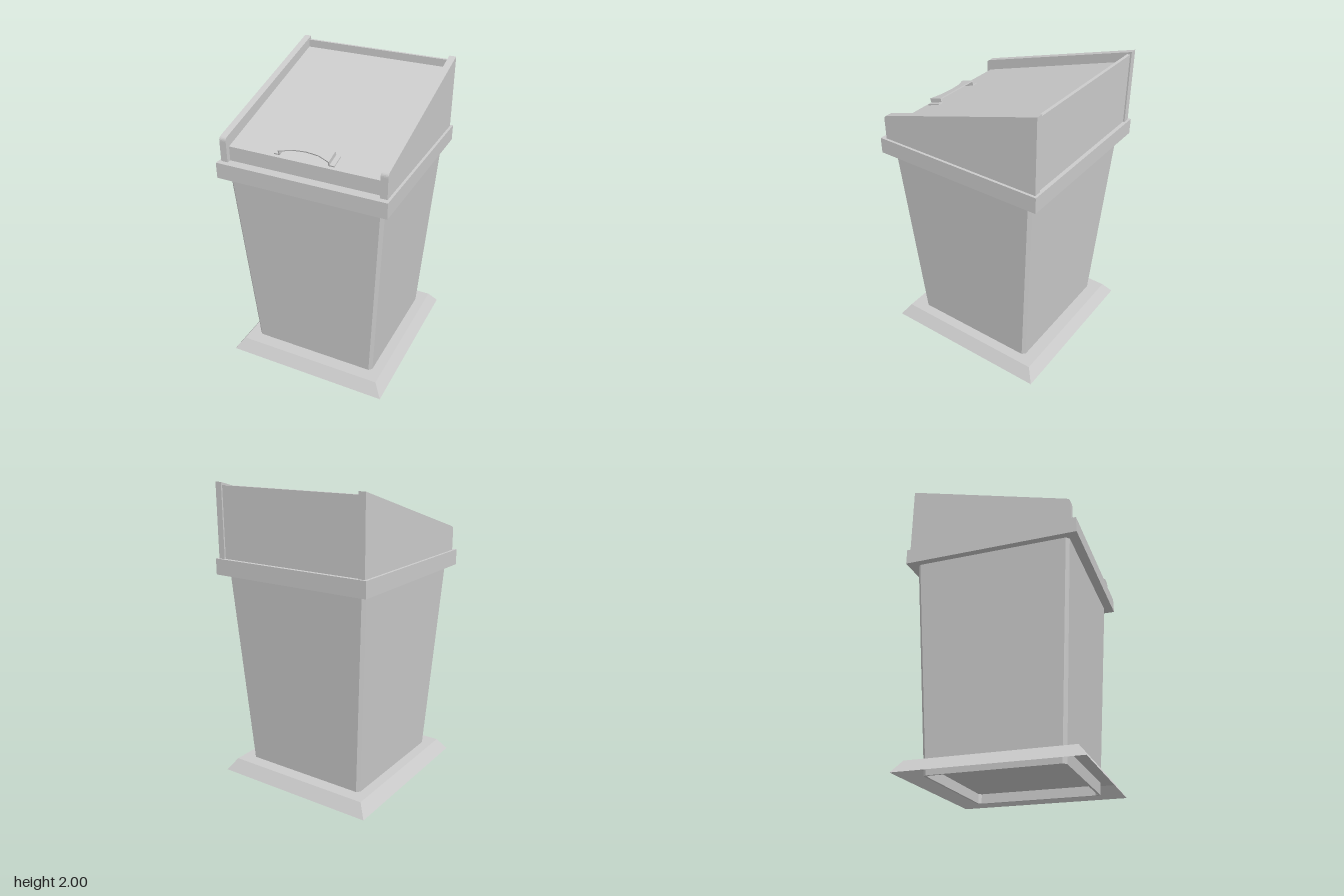
import * as THREE from 'three';

const grey = new THREE.MeshStandardMaterial({ color: 0xcccccc, side: THREE.DoubleSide });
grey.name = 'light grey plastic';

function part(name, geometry, parent) {
  const mesh = new THREE.Mesh(geometry, grey);
  mesh.name = name;
  parent.add(mesh);
  return mesh;
}

// Horizontal rectangle, optionally with chamfered corners
function ring(hx, hz, y, c = 0) {
  const pts = c === 0
    ? [[-hx, hz], [hx, hz], [hx, -hz], [-hx, -hz]]
    : [[-hx + c, hz], [hx - c, hz], [hx, hz - c], [hx, -hz + c],
       [hx - c, -hz], [-hx + c, -hz], [-hx, -hz + c], [-hx, hz - c]];
  return pts.map(([x, z]) => [x, y, z]);
}

// Flat-faced skin across successive rings
function loft(rings) {
  const pos = [];
  for (let r = 0; r < rings.length - 1; r++) {
    const lo = rings[r], hi = rings[r + 1], n = lo.length;
    for (let i = 0; i < n; i++) {
      const j = (i + 1) % n;
      pos.push(...lo[i], ...lo[j], ...hi[j], ...lo[i], ...hi[j], ...hi[i]);
    }
  }
  const g = new THREE.BufferGeometry();
  g.setAttribute('position', new THREE.Float32BufferAttribute(pos, 3));
  g.computeVertexNormals();
  return g;
}

// Side profile drawn in (z, y), extruded along x and centred
function profileX(shape, width) {
  return new THREE.ExtrudeGeometry(shape, { depth: width, bevelEnabled: false, curveSegments: 5 })
    .translate(0, 0, -width / 2)
    .rotateY(-Math.PI / 2);
}

const shapeOf = (pts) => new THREE.Shape(pts.map(([x, y]) => new THREE.Vector2(x, y)));

export function createModel() {
  const model = new THREE.Group();
  model.name = 'wasteBin';

  // Sloped skirt around the foot
  part('baseSkirt', loft([
    ring(0.57, 0.585, 0), ring(0.513, 0.53, 0.08), ring(0.43, 0.43, 0.08),
  ]), model);

  // Tapered body with chamfered corners and a recessed floor
  part('body', loft([
    ring(0.001, 0.001, 0.065, 0.0005),
    ring(0.424, 0.424, 0.065, 0.018),
    ring(0.424, 0.424, 0, 0.018),
    ring(0.439, 0.439, 0, 0.021),
    ring(0.525, 0.525, 1.42, 0.021),
  ]), model);

  // Collar
  part('rim', new THREE.BoxGeometry(1.14, 0.105, 1.17).translate(0, 1.4625, 0), model);

  // Lid: front lip, sloping panel and raised back wall in one profile
  const lid = new THREE.Group();
  lid.name = 'lid';
  model.add(lid);
  part('lidPanel', profileX(shapeOf([
    [0.52, 1.51], [0.52, 1.61], [-0.54, 1.93], [-0.54, 1.98], [-0.56, 1.98], [-0.56, 1.51],
  ]), 1.02), lid);

  // Cheeks on both sides of the lid
  const cheek = new THREE.Shape();
  cheek.moveTo(-0.57, 1.51);
  cheek.lineTo(0.55, 1.51);
  cheek.lineTo(0.55, 1.65);
  cheek.quadraticCurveTo(0.55, 1.673, 0.528, 1.68);
  cheek.lineTo(-0.57, 2);
  cheek.closePath();
  for (const [name, s] of [['leftCheek', 1], ['rightCheek', -1]]) {
    part(name, profileX(cheek, 0.046), lid).position.x = s * 0.53;
  }

  // Handle, built flat and tilted onto the lid slope
  const handle = new THREE.Group();
  handle.name = 'handle';
  handle.position.set(0, 1.61, 0.52);
  handle.rotation.x = Math.atan2(0.32, 1.06);
  lid.add(handle);
  const grip = shapeOf([
    [-0.165, 0.115], [-0.165, 0.021], [-0.085, 0.053], [0, 0.062],
    [0.085, 0.053], [0.165, 0.021], [0.165, 0.115],
  ]);
  part('handleGrip', new THREE.ExtrudeGeometry(grip, { depth: 0.008, bevelEnabled: false })
    .rotateX(-Math.PI / 2).translate(0, 0.027, 0), handle);
  for (const s of [-1, 1]) {
    part('handleLeg', new THREE.BoxGeometry(0.008, 0.035, 0.094), handle)
      .position.set(s * 0.165, 0.0175, -0.068);
    part('handleFoot', new THREE.BoxGeometry(0.035, 0.008, 0.094), handle)
      .position.set(s * 0.1825, 0.004, -0.068);
  }

  return model;
}
